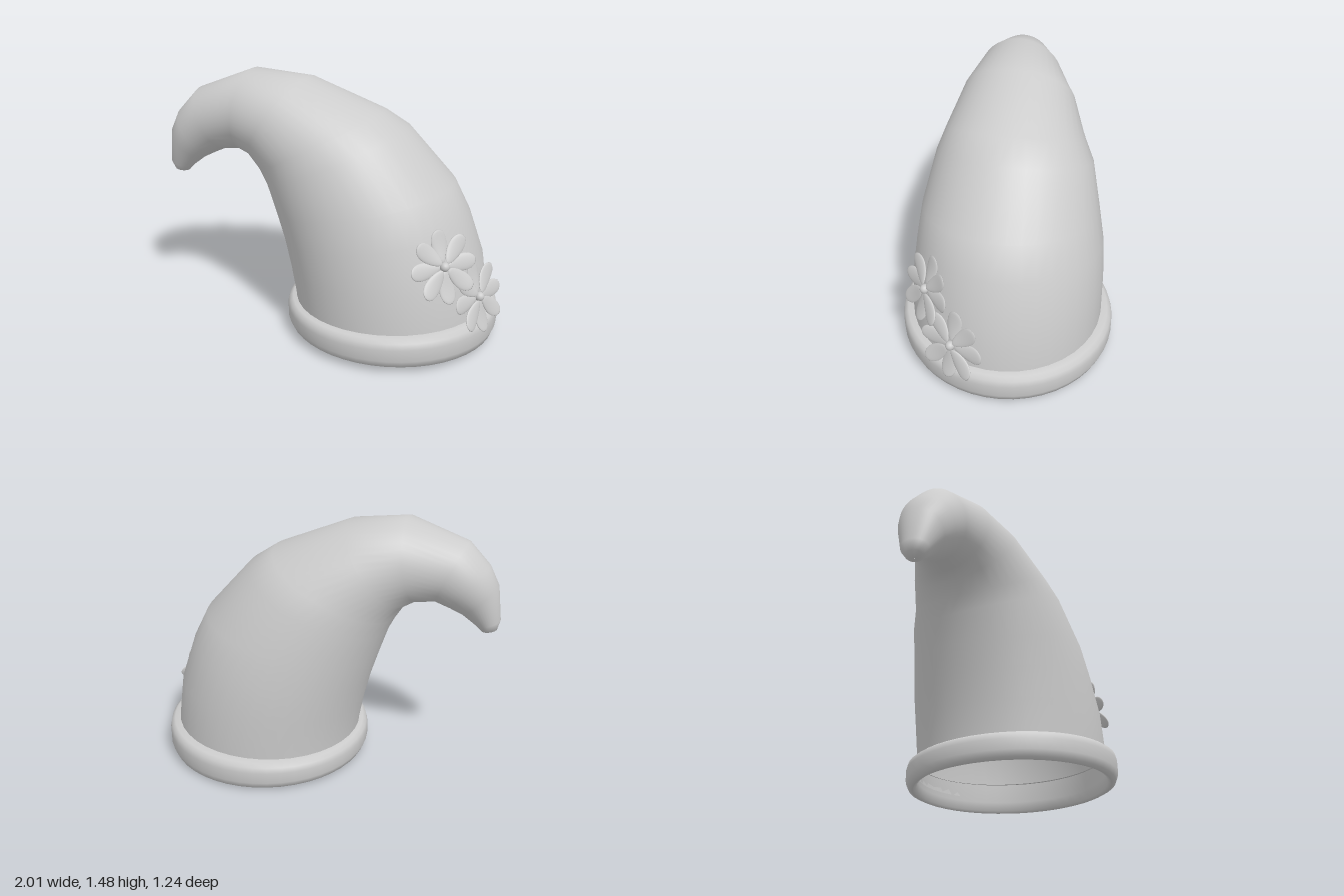
import * as THREE from 'three';

const material = new THREE.MeshStandardMaterial({ color: 0xcccccc, side: THREE.DoubleSide });

function addMesh(parent, name, geometry) {
  const mesh = new THREE.Mesh(geometry, material);
  mesh.name = name;
  parent.add(mesh);
  return mesh;
}

// Bent cone: each section is an ellipse between an outer and an inner point.
// [outer x, outer y, inner x, inner y, centre z, half width in z]
const SECTIONS = [
  [0.91, 0.10, -0.21, 0.08, 0, 0.55],
  [0.91, 0.20, -0.22, 0.20, 0, 0.555],
  [0.87, 0.47, -0.25, 0.36, 0, 0.55],
  [0.78, 0.72, -0.29, 0.52, 0, 0.53],
  [0.69, 0.90, -0.34, 0.68, 0.01, 0.50],
  [0.42, 1.19, -0.39, 0.83, 0.02, 0.445],
  [0.28, 1.28, -0.43, 0.91, 0.035, 0.40],
  [-0.15, 1.45, -0.475, 0.98, 0.06, 0.325],
  [-0.47, 1.485, -0.54, 1.01, 0.09, 0.245],
  [-0.80, 1.36, -0.64, 1.01, 0.13, 0.19],
  [-0.92, 1.23, -0.72, 0.975, 0.148, 0.165],
  [-0.975, 1.12, -0.79, 0.94, 0.157, 0.13],
  [-1.00, 0.92, -0.87, 0.88, 0.165, 0.08],
  [-0.985, 0.865, -0.90, 0.848, 0.165, 0.048],
  [-0.942, 0.846, -0.938, 0.845, 0.165, 0.002],
];

function hatGeometry(sides = 40) {
  const positions = [];
  const indices = [];
  SECTIONS.forEach(([ox, oy, ix, iy, cz, hz], row) => {
    for (let i = 0; i < sides; i++) {
      const angle = (i / sides) * Math.PI * 2;
      const c = Math.cos(angle) / 2;
      positions.push(
        (ox + ix) / 2 + (ox - ix) * c,
        (oy + iy) / 2 + (oy - iy) * c,
        cz + hz * Math.sin(angle)
      );
      if (row === SECTIONS.length - 1) continue;
      const a = row * sides + i;
      const b = row * sides + ((i + 1) % sides);
      indices.push(a, a + sides, b, b, a + sides, b + sides);
    }
  });
  const geometry = new THREE.BufferGeometry();
  geometry.setAttribute('position', new THREE.Float32BufferAttribute(positions, 3));
  geometry.setIndex(indices);
  geometry.computeVertexNormals();
  return geometry;
}

// Rolled brim, slightly higher at the front and at the left
function brimGeometry() {
  const profile = [
    [0.545, 0.165], [0.55, 0.06], [0.56, 0.012], [0.58, 0], [0.605, 0.012],
    [0.62, 0.05], [0.62, 0.115], [0.612, 0.148], [0.59, 0.165], [0.545, 0.17],
  ].map(([r, y]) => new THREE.Vector2(r, y));
  const geometry = new THREE.LatheGeometry(profile, 48);
  const p = geometry.attributes.position;
  for (let i = 0; i < p.count; i++) {
    const y = p.getY(i);
    p.setY(i, y + 0.018 + 0.026 * p.getZ(i) + 0.18 * y * p.getX(i));
  }
  geometry.translate(0.35, 0, -0.003);
  return geometry;
}

// Flat teardrop petal pointing along +x, wider towards its tip
function petalGeometry(length) {
  const geometry = new THREE.SphereGeometry(1, 20, 12);
  const p = geometry.attributes.position;
  for (let i = 0; i < p.count; i++) {
    const x = p.getX(i);
    p.setXYZ(
      i,
      length * (0.56 + 0.44 * x),
      length * 0.225 * p.getY(i) * (1 + 0.25 * x),
      0.012 * p.getZ(i) + 0.012 * x * x
    );
  }
  geometry.computeVertexNormals();
  return geometry;
}

function createFlower(name, position, normal, size, turn) {
  const flower = new THREE.Group();
  flower.name = name;
  const geometry = petalGeometry(size);
  for (let i = 0; i < 8; i++) {
    const petal = addMesh(flower, 'petal', geometry);
    petal.rotation.z = turn + (i * Math.PI) / 4;
    petal.position.z = i % 2 ? 0.006 : -0.006;
  }
  const centre = addMesh(flower, 'flowerCentre', new THREE.SphereGeometry(0.026, 16, 12));
  centre.position.z = 0.012;
  flower.position.set(...position);
  flower.lookAt(new THREE.Vector3(...position).add(new THREE.Vector3(...normal)));
  return flower;
}

export function createModel() {
  const model = new THREE.Group();
  model.name = 'bentHat';
  addMesh(model, 'hatBody', hatGeometry());
  addMesh(model, 'brim', brimGeometry());
  model.add(
    createFlower('upperFlower', [0.735, 0.57, 0.355], [0.68, 0.34, 0.65], 0.2, 0.04),
    createFlower('lowerFlower', [0.895, 0.345, 0.185], [0.87, 0.28, 0.38], 0.203, 0.02)
  );
  return model;
}
